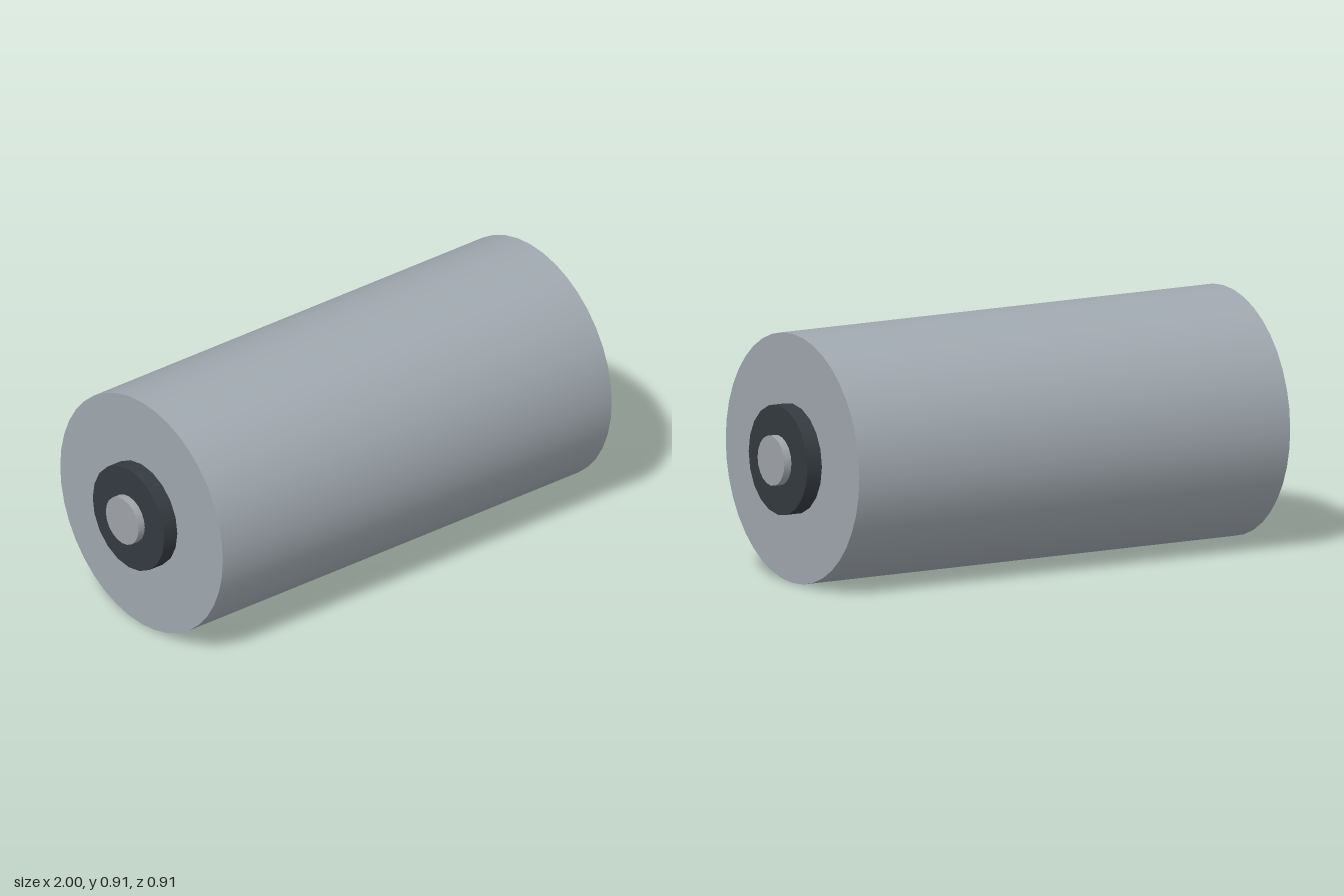
import * as THREE from 'three';

const CENTER_Y = 0.4545;

function flat(name, color) {
  const material = new THREE.MeshStandardMaterial({ color });
  material.name = name;
  return material;
}

// Cylinder lying along x, spanning x0 to x1
function rod(name, radius, x0, x1, sides, material) {
  const geometry = new THREE.CylinderGeometry(radius, radius, x1 - x0, sides);
  geometry.rotateZ(-Math.PI / 2);
  const mesh = new THREE.Mesh(geometry, material);
  mesh.name = name;
  mesh.position.set((x0 + x1) / 2, CENTER_Y, 0);
  return mesh;
}

export function createModel() {
  const model = new THREE.Group();
  model.name = 'roller';
  const steel = flat('brushed steel', 0xa0a8af);
  const dark = flat('dark hub', 0x343a40);
  const axle = flat('axle steel', 0xa0a5aa);

  // Main drum
  model.add(rod('drum', 0.4545, -0.909, 0.909, 40, steel));

  // Hub and axle stub, mirrored on both ends
  for (const side of [1, -1]) {
    const end = new THREE.Group();
    end.name = side > 0 ? 'leftEnd' : 'rightEnd';
    end.add(rod('hub', 0.2, 0.909, 0.97, 20, dark));
    end.add(rod('axleStub', 0.091, 0.97, 1, 20, axle));
    if (side < 0) end.rotation.y = Math.PI;
    model.add(end);
  }
  return model;
}
